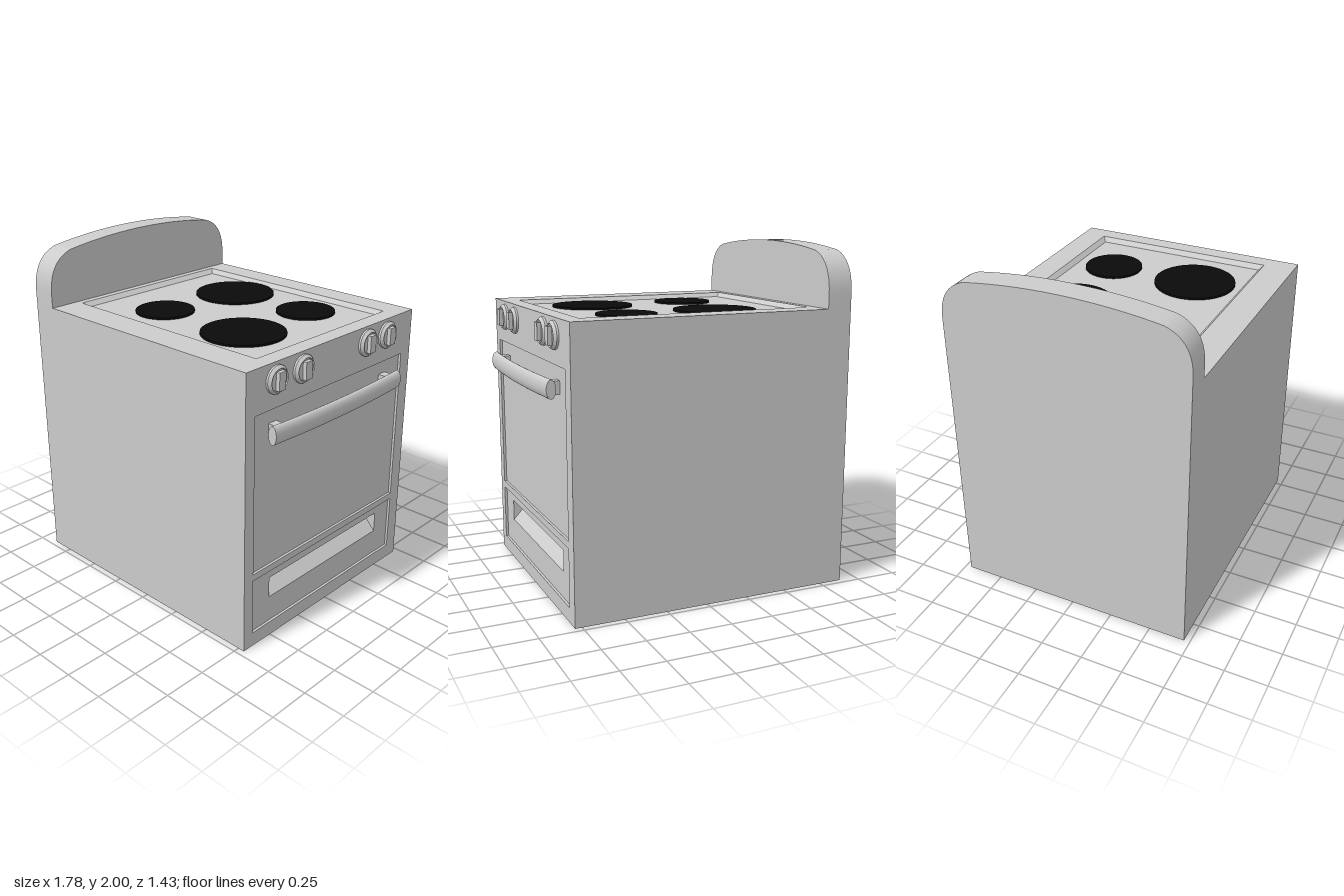
import * as THREE from 'three';
import { toCreasedNormals } from 'three/addons/utils/BufferGeometryUtils.js';

const grey = new THREE.MeshStandardMaterial({ color: 0xcccccc, side: THREE.DoubleSide });
const black = new THREE.MeshStandardMaterial({ color: 0x0a0a0a });

function add(parent, name, geometry, material = grey) {
  const mesh = new THREE.Mesh(geometry, material);
  mesh.name = name;
  parent.add(mesh);
  return mesh;
}

// Rectangle as four corners, counter-clockwise
const rect = (u0, v0, u1, v1) =>
  [[u0, v0], [u1, v0], [u1, v1], [u0, v1]].map(([u, v]) => new THREE.Vector2(u, v));

// Flat panel at a given depth, with optional rectangular holes
function flat(outer, depth, ...holes) {
  const shape = new THREE.Shape(outer);
  holes.forEach((h) => shape.holes.push(new THREE.Path(h)));
  return new THREE.ShapeGeometry(shape).translate(0, 0, depth);
}

// Four walls joining rectangle a at depth da to rectangle b at depth db
function walls(a, da, b, db, skip = -1) {
  const pos = [];
  for (let i = 0; i < 4; i++) {
    if (i === skip) continue;
    const j = (i + 1) % 4;
    const A = [a[i].x, a[i].y, da], B = [a[j].x, a[j].y, da];
    const C = [b[j].x, b[j].y, db], D = [b[i].x, b[i].y, db];
    pos.push(...A, ...B, ...C, ...A, ...C, ...D);
  }
  const g = new THREE.BufferGeometry();
  g.setAttribute('position', new THREE.Float32BufferAttribute(pos, 3));
  g.computeVertexNormals();
  return g;
}

export function createModel() {
  const model = new THREE.Group();
  model.name = 'stove';
  const X0 = -0.89, X1 = 0.79, H = 1.635, W = 0.715;

  // Horizontal parts: drawn in (x, -z), depth is height
  const level = new THREE.Group();
  level.name = 'cabinet';
  level.rotation.x = -Math.PI / 2;
  model.add(level);
  const plan = rect(X0, -W, X1, W);
  add(level, 'cabinetSides', walls(plan, 0, plan, H, 1));
  const base = flat(plan, 0);
  base.rotateX(Math.PI);
  add(level, 'cabinetBase', base);

  // Cooktop with a shallow bevelled tray
  const trayTop = rect(-0.7, -0.53, 0.69, 0.57);
  const trayFloor = rect(-0.67, -0.505, 0.66, 0.545);
  const floorY = H - 0.025;
  add(level, 'cooktopRim', flat(plan, H, trayTop));
  add(level, 'cooktopBevel', walls(trayTop, H, trayFloor, floorY));
  add(level, 'cooktopFloor', flat(trayFloor, floorY));

  // Burners
  for (const [x, z, r] of [[-0.235, -0.302, 0.24], [0.32, -0.312, 0.173],
    [-0.285, 0.243, 0.173], [0.322, 0.225, 0.24]]) {
    add(model, 'burner', new THREE.CylinderGeometry(r, r, 0.012, 64), black)
      .position.set(x, floorY + 0.006, z);
  }

  // Parts on the +x face: drawn in (-z, y), depth is x
  const face = new THREE.Group();
  face.name = 'controlFace';
  face.rotation.y = Math.PI / 2;
  model.add(face);
  const door = rect(-0.645, 0.46, 0.63, 1.383);
  const drawer = rect(-0.645, 0.085, 0.63, 0.42);
  const inset = X1 - 0.015;
  add(face, 'faceFrame', flat(rect(-W, 0, W, H), X1, door, drawer));
  add(face, 'doorReveal', walls(door, X1, door, inset));
  add(face, 'door', flat(door, inset));

  // Drawer with a wedge-shaped finger pull
  const pull = rect(-0.495, 0.24, 0.495, 0.365);
  add(face, 'drawerReveal', walls(drawer, X1, drawer, inset));
  add(face, 'drawer', flat(drawer, inset, pull));
  add(face, 'drawerPull', walls(pull, inset, rect(-0.495, 0.348, 0.495, 0.348), inset - 0.1));

  // Backsplash with rounded shoulders and a gently arched top
  const arch = new THREE.Shape();
  arch.moveTo(-W, H);
  arch.lineTo(W, H);
  arch.lineTo(W, 1.72);
  arch.bezierCurveTo(W, 1.86, 0.65, 1.93, 0.56, 1.957);
  arch.quadraticCurveTo(0.29, 2, 0, 2);
  arch.quadraticCurveTo(-0.29, 2, -0.56, 1.957);
  arch.bezierCurveTo(-0.65, 1.93, -W, 1.86, -W, 1.72);
  const splash = new THREE.ExtrudeGeometry(arch, { depth: 0.15, bevelEnabled: false, curveSegments: 12 });
  add(face, 'backsplash', toCreasedNormals(splash.translate(0, 0, X0), 0.6));

  // Knobs: stepped round base with an upright grip
  const knobProfile = [[0.078, 0], [0.078, 0.012], [0.064, 0.028], [0.06, 0.022], [0, 0.022]]
    .map(([r, d]) => new THREE.Vector2(r, d));
  for (const z of [0.49, 0.28, -0.28, -0.467]) {
    const knob = new THREE.Group();
    knob.name = 'knob';
    knob.position.set(-z, 1.54, X1);
    const dial = new THREE.LatheGeometry(knobProfile, 40).rotateX(Math.PI / 2);
    add(knob, 'knobBase', toCreasedNormals(dial, 0.4));
    add(knob, 'knobGrip', new THREE.BoxGeometry(0.05, 0.1, 0.03)).position.z = 0.03;
    face.add(knob);
  }

  // Door handle: oval bar bowed outwards on two posts
  const bar = new THREE.CylinderGeometry(0.053, 0.053, 1.1, 32, 24).rotateZ(Math.PI / 2).scale(1, 1, 0.51);
  const p = bar.attributes.position;
  for (let i = 0; i < p.count; i++) {
    p.setZ(i, p.getZ(i) + 0.022 * (1 - (p.getX(i) / 0.55) ** 2));
  }
  const handle = new THREE.Group();
  handle.name = 'doorHandle';
  handle.position.set(-0.015, 1.265, 0.836);
  add(handle, 'handleBar', bar);
  for (const s of [-1, 1]) {
    add(handle, 'handlePost', new THREE.BoxGeometry(0.06, 0.075, 0.06)).position.set(s * 0.48, 0, -0.031);
  }
  face.add(handle);

  return model;
}
